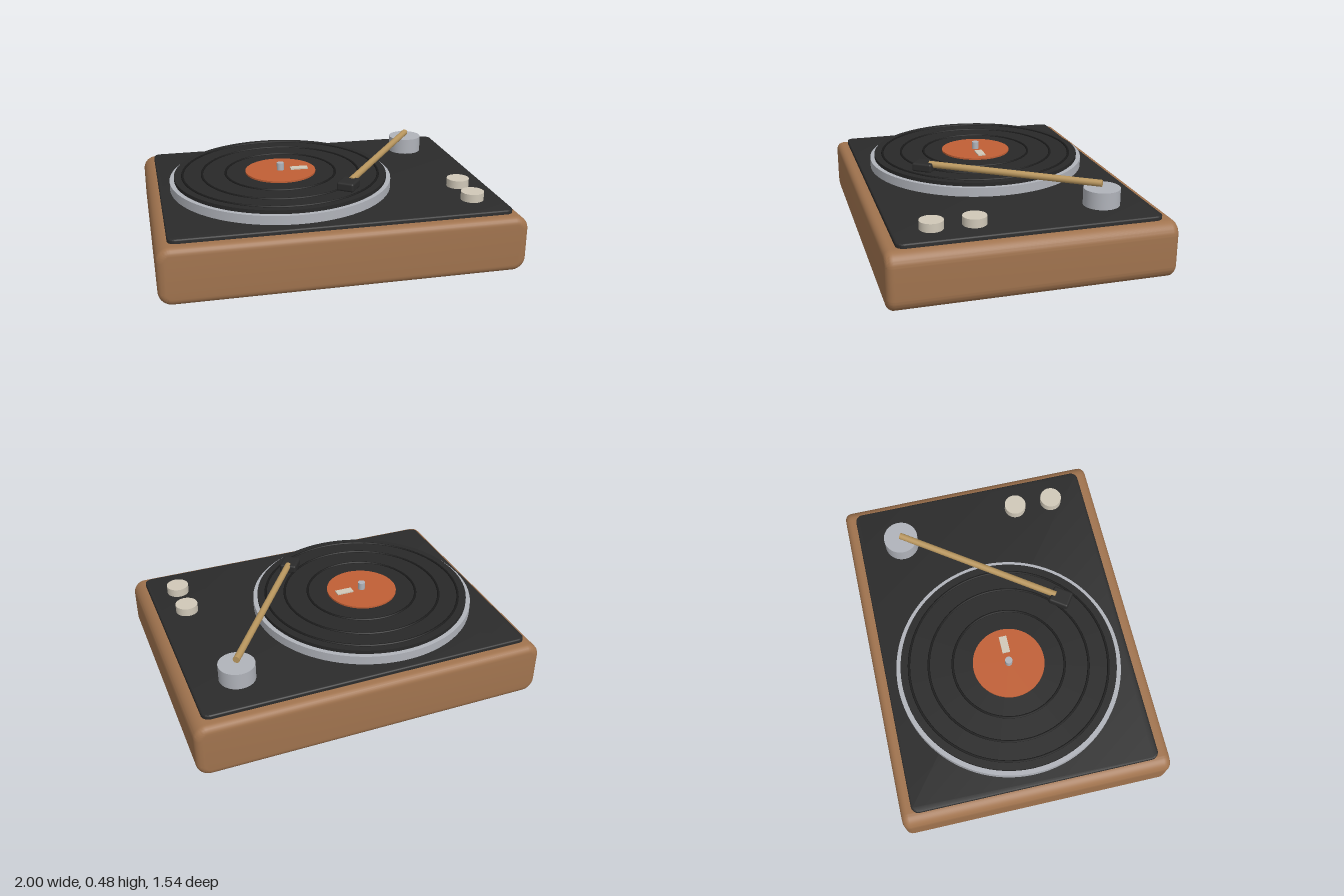
import * as THREE from 'three';
import { toCreasedNormals } from 'three/addons/utils/BufferGeometryUtils.js';
import { RoundedBoxGeometry } from 'three/addons/geometries/RoundedBoxGeometry.js';

const paint = (name, color) => {
  const m = new THREE.MeshStandardMaterial({ color });
  m.name = name;
  return m;
};

// Rounded rectangle extruded along z, centred, with bevelled ends
function roundedSlab(w, h, depth, corner, bevel, segments) {
  const x = w / 2 - bevel, y = h / 2 - bevel, r = corner;
  const s = new THREE.Shape();
  s.moveTo(-x + r, -y);
  s.lineTo(x - r, -y);
  s.absarc(x - r, -y + r, r, -Math.PI / 2, 0);
  s.lineTo(x, y - r);
  s.absarc(x - r, y - r, r, 0, Math.PI / 2);
  s.lineTo(-x + r, y);
  s.absarc(-x + r, y - r, r, Math.PI / 2, Math.PI);
  s.lineTo(-x, -y + r);
  s.absarc(-x + r, -y + r, r, Math.PI, Math.PI * 1.5);
  const geo = new THREE.ExtrudeGeometry(s, {
    depth: depth - 2 * bevel, bevelSize: bevel, bevelThickness: bevel,
    bevelSegments: segments, curveSegments: 8,
  });
  geo.translate(0, 0, -depth / 2 + bevel);
  return toCreasedNormals(geo, 0.6);
}

export function createModel() {
  const model = new THREE.Group();
  model.name = 'turntable';

  const wood = paint('walnut wood', 0xa0734e);
  const black = paint('charcoal', 0x2b2b2b);
  const vinyl = paint('vinyl', 0x282828);
  const groove = paint('groove black', 0x1a1a1a);
  const metal = paint('brushed metal', 0xb0b3ba);
  const orange = paint('label orange', 0xc05f35);
  const cream = paint('cream', 0xd0c8b8);
  const brass = paint('brass', 0xb8965e);

  const add = (name, geo, mat, x = 0, y = 0, z = 0) => {
    const mesh = new THREE.Mesh(geo, mat);
    mesh.name = name;
    mesh.position.set(x, y, z);
    model.add(mesh);
    return mesh;
  };
  // Upright disc given by its bottom and top heights
  const disc = (name, r, y0, y1, mat, x, z, sides = 64) =>
    add(name, new THREE.CylinderGeometry(r, r, y1 - y0, sides), mat, x, (y0 + y1) / 2, z);

  // Plinth and top deck
  add('plinth', roundedSlab(2, 0.318, 1.54, 0.035, 0.04, 6), wood, 0, 0.159, 0);
  const deck = roundedSlab(1.87, 1.41, 0.05, 0.035, 0.008, 3);
  deck.rotateX(-Math.PI / 2);
  add('deck', deck, black, 0, 0.316, 0);

  // Platter, record and label
  const px = -0.23;
  disc('platter', 0.644, 0.335, 0.392, metal, px, 0, 96);
  disc('record', 0.618, 0.39, 0.413, vinyl, px, 0, 96);
  for (const r of [0.57, 0.457, 0.32]) {
    const ring = add('recordGroove', new THREE.TorusGeometry(r, 0.007, 8, 96), groove, px, 0.413, 0);
    ring.rotation.x = Math.PI / 2;
  }
  disc('recordLabel', 0.205, 0.41, 0.423, orange, px, 0);
  add('labelStrip', new THREE.BoxGeometry(0.1, 0.008, 0.044), cream, -0.12, 0.426, 0);
  disc('spindle', 0.021, 0.41, 0.466, metal, px, 0, 24);

  // Tonearm running from the pivot to the headshell
  const start = new THREE.Vector3(0.68, 0.457, -0.456);
  const end = new THREE.Vector3(0.104, 0.457, 0.36);
  const dir = end.clone().sub(start);
  disc('tonearmPivot', 0.1, 0.335, 0.435, metal, 0.68, -0.456, 48);
  const mid = start.clone().add(end).multiplyScalar(0.5);
  const arm = add('tonearm', new THREE.CylinderGeometry(0.019, 0.019, dir.length(), 20), brass, ...mid);
  arm.quaternion.setFromUnitVectors(new THREE.Vector3(0, 1, 0), dir.clone().normalize());
  const head = add('headshell', new RoundedBoxGeometry(0.1, 0.05, 0.118, 3, 0.012), black, 0.083, 0.443, 0.384);
  head.rotation.y = Math.atan2(dir.x, dir.z);

  // Control knobs
  for (const z of [0.273, 0.498]) disc('knob', 0.064, 0.335, 0.388, cream, 0.77, z, 40);

  return model;
}
